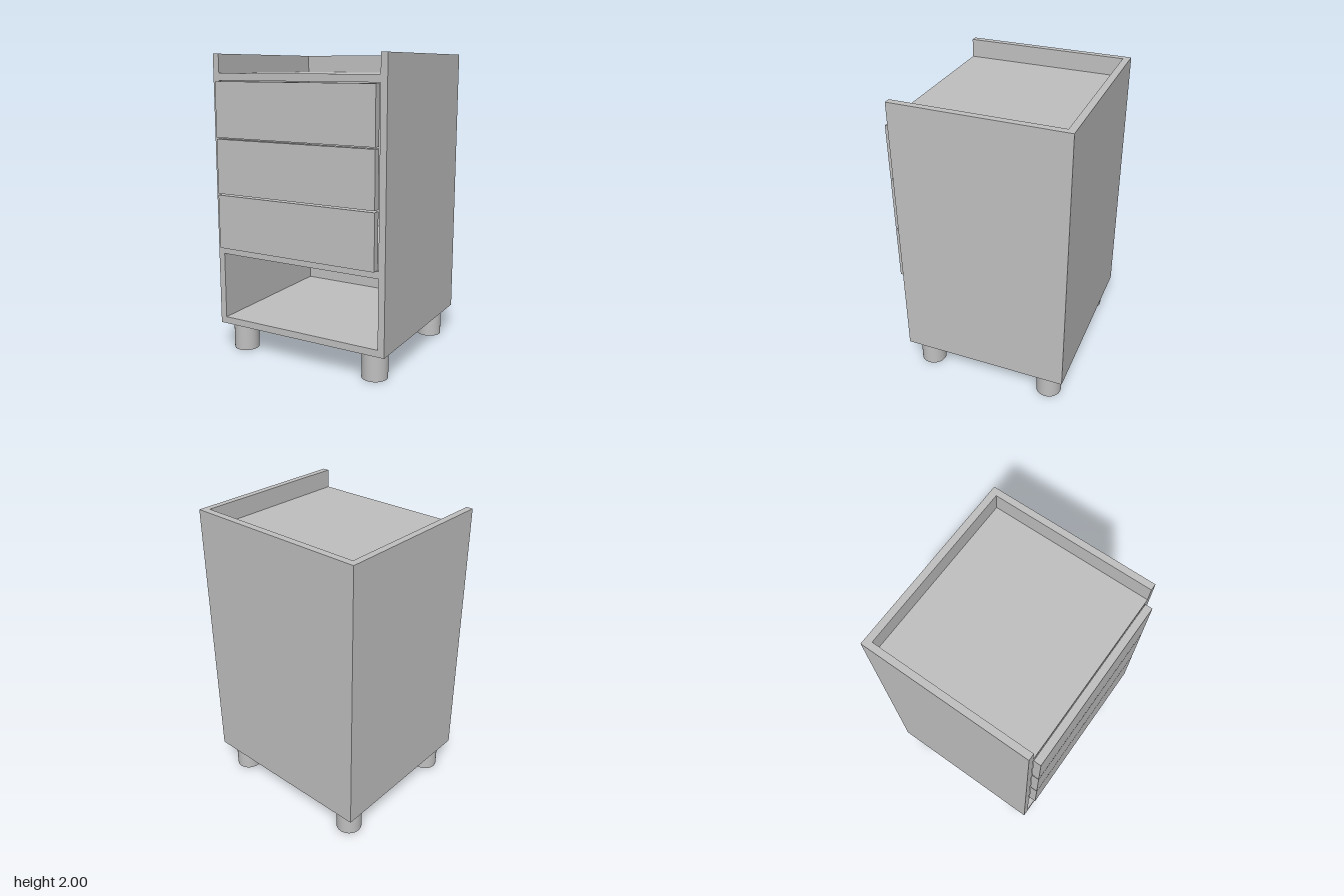
import * as THREE from 'three';

export function createModel() {
  const model = new THREE.Group();
  model.name = 'drawerCabinet';
  const grey = new THREE.MeshStandardMaterial({ color: 0xc0c0c0 });
  grey.name = 'plain grey';

  // Box given by its lower and upper limits on each axis
  function panel(name, [x0, x1], [y0, y1], [z0, z1], parent = model) {
    const mesh = new THREE.Mesh(new THREE.BoxGeometry(x1 - x0, y1 - y0, z1 - z0), grey);
    mesh.position.set((x0 + x1) / 2, (y0 + y1) / 2, (z0 + z1) / 2);
    mesh.name = name;
    parent.add(mesh);
  }

  const half = 0.622, inner = 0.578;
  const bottom = 0.19, top = 2;
  const back = -0.587, backInner = -0.541, front = 0.537;

  // Carcass: sides and back rise above the worktop
  panel('leftSide', [inner, half], [bottom, top], [back, front]);
  panel('rightSide', [-half, -inner], [bottom, top], [back, front]);
  panel('backPanel', [-inner, inner], [bottom, top], [back, backInner]);
  panel('floorPanel', [-inner, inner], [bottom, 0.236], [backInner, front]);
  panel('middleShelf', [-inner, inner], [0.684, 0.73], [backInner, front]);
  panel('topPanel', [-inner, inner], [1.832, 1.878], [backInner, front]);

  // Three drawer fronts standing proud of the carcass
  const drawers = new THREE.Group();
  drawers.name = 'drawers';
  model.add(drawers);
  for (let i = 0; i < 3; i++) {
    const y = 0.736 + i * 0.367;
    panel('drawerFront' + (i + 1), [-0.573, 0.573], [y, y + 0.357], [front, 0.585], drawers);
  }

  // Four round feet
  const footGeometry = new THREE.CylinderGeometry(0.085, 0.085, bottom, 48);
  for (const x of [-0.5, 0.5]) {
    for (const z of [0.416, -0.46]) {
      const foot = new THREE.Mesh(footGeometry, grey);
      foot.position.set(x, bottom / 2, z);
      foot.name = (z > 0 ? 'front' : 'back') + (x > 0 ? 'Left' : 'Right') + 'Foot';
      model.add(foot);
    }
  }
  return model;
}
